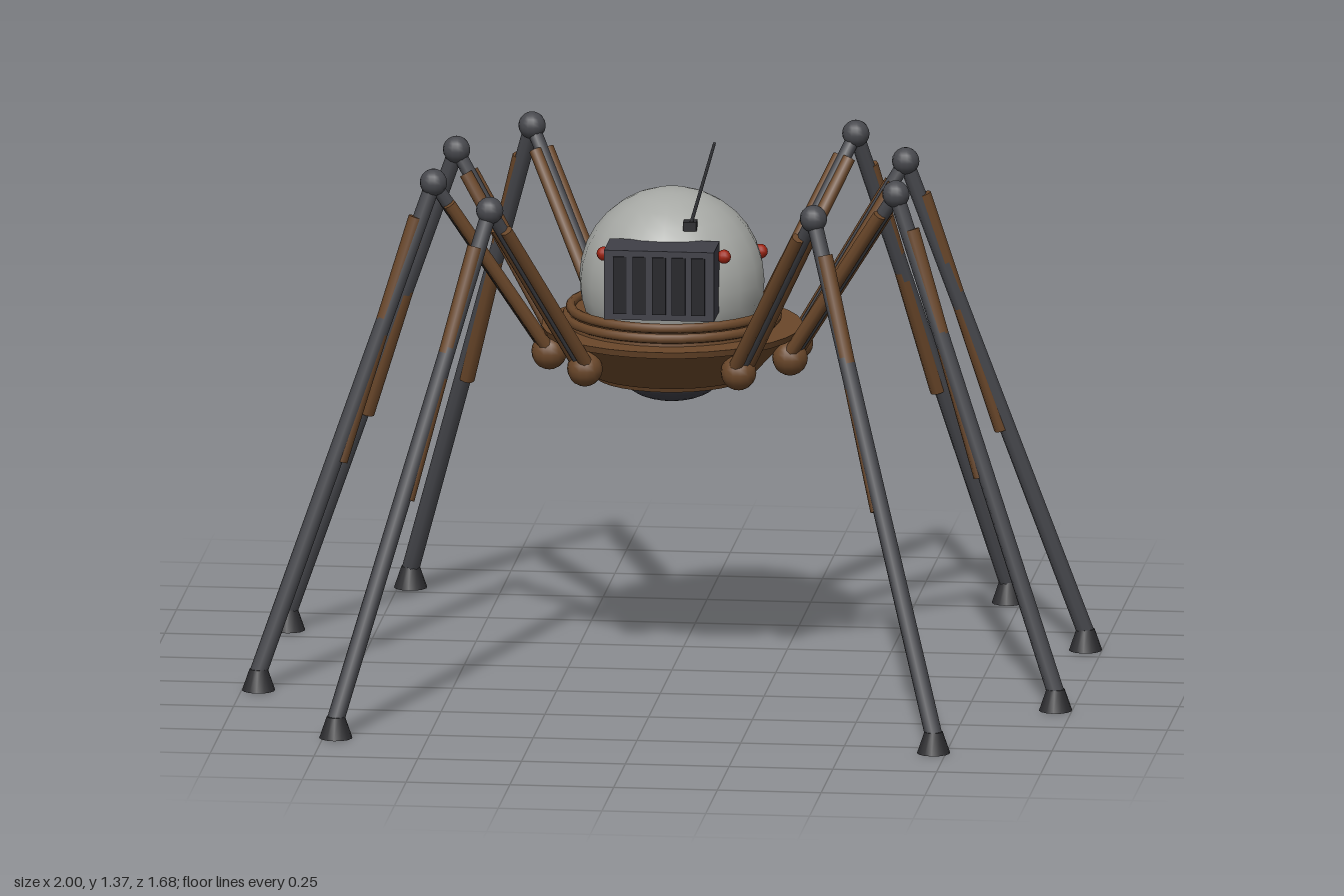
import * as THREE from 'three';

const mat = (name, color, extra = {}) => {
  const m = new THREE.MeshStandardMaterial({ color, ...extra });
  m.name = name;
  return m;
};
const V = (x, y, z) => new THREE.Vector3(x, y, z);

export function createModel() {
  const bronze = mat('bronze', 0x6a472a);
  const steel = mat('dark steel', 0x47484d);
  const rubber = mat('black rubber', 0x2c2c2f);
  const shell = mat('pale shell', 0xa6a8a4);
  const red = mat('red lamp', 0x9e2413);
  const casing = mat('casing grey', 0x3f3f47);
  const slot = mat('vent black', 0x222226);

  const model = new THREE.Group();
  model.name = 'walker';

  const add = (parent, name, geo, material, x = 0, y = 0, z = 0) => {
    const m = new THREE.Mesh(geo, material);
    m.name = name;
    m.position.set(x, y, z);
    parent.add(m);
    return m;
  };
  // Round bar between two points
  const bar = (parent, name, a, b, r0, r1, material, sides = 8) => {
    const d = b.clone().sub(a);
    const m = add(parent, name, new THREE.CylinderGeometry(r1, r0, d.length(), sides), material);
    m.position.copy(a).addScaledVector(d, 0.5);
    m.quaternion.setFromUnitVectors(V(0, 1, 0), d.normalize());
    return m;
  };

  // Body: stepped conical hull with a flat rim and collar rings
  const body = new THREE.Group();
  body.name = 'body';
  model.add(body);
  const ringPart = (name, top, bottom, y0, y1) =>
    add(body, name, new THREE.CylinderGeometry(top, bottom, y1 - y0, 32), bronze, 0, (y0 + y1) / 2, 0);
  ringPart('basePlate', 0.19, 0.185, 0.725, 0.737);
  ringPart('hull', 0.295, 0.2, 0.737, 0.84);
  ringPart('rim', 0.313, 0.308, 0.836, 0.852);
  ringPart('collar', 0.245, 0.25, 0.852, 0.89);
  for (const [y, r] of [[0.872, 0.252], [0.895, 0.243]]) {
    const t = add(body, 'collarRing', new THREE.TorusGeometry(r, 0.012, 8, 32), bronze, 0, y, 0);
    t.rotation.x = Math.PI / 2;
  }
  add(body, 'dome', new THREE.SphereGeometry(0.223, 20, 10, 0, Math.PI * 2, 0, Math.PI * 0.62), shell, 0, 0.962, 0);
  const belly = add(body, 'bellySensor',
    new THREE.SphereGeometry(0.12, 20, 8, 0, Math.PI * 2, Math.PI / 2, Math.PI / 2), casing, 0, 0.727, 0);
  belly.scale.y = 0.5;

  // Ventilated box on the front of the dome
  const vent = new THREE.Group();
  vent.name = 'ventBox';
  model.add(vent);
  add(vent, 'casing', new THREE.BoxGeometry(0.265, 0.17, 0.125), casing, 0, 1.008, 0.217);
  for (let i = 0; i < 5; i++)
    add(vent, 'ventSlot', new THREE.BoxGeometry(0.033, 0.14, 0.006), slot, -0.094 + i * 0.047, 1.008, 0.28);

  // Antenna
  add(model, 'antennaBase', new THREE.BoxGeometry(0.032, 0.022, 0.032), rubber, 0.06, 1.127, 0.142);
  bar(model, 'antenna', V(0.06, 1.125, 0.142), V(0.135, 1.365, 0.288), 0.005, 0.004, steel, 6);

  // Lamps around the dome
  const lamps = [[0.145, 1.06, 0.175, 0.017], [0.2, 1.008, -0.115, 0.018],
    [0.115, 0.955, -0.192, 0.015], [0.058, 0.955, -0.215, 0.015]];
  for (const [x, y, z, r] of lamps)
    for (const s of [-1, 1]) add(model, 'lamp', new THREE.SphereGeometry(r, 10, 8), red, s * x, y, z);

  // Legs: [hip x, z], [knee x, z], [foot x, z]
  const legs = [
    [[0.185, 0.22], [0.39, 0.437], [0.72, 0.8]],
    [[0.29, 0.05], [0.557, 0.156], [0.96, 0.32]],
    [[0.285, -0.11], [0.541, -0.196], [0.96, -0.322]],
    [[0.18, -0.27], [0.39, -0.471], [0.72, -0.802]],
  ];
  for (const s of [-1, 1]) {
    for (const [h, k, f] of legs) {
      const leg = new THREE.Group();
      leg.name = s > 0 ? 'leftLeg' : 'rightLeg';
      model.add(leg);
      const hip = V(s * h[0], 0.787, h[1]);
      const knee = V(s * k[0], 1.22, k[1]);
      const ankle = V(s * f[0], 0.045, f[1]);
      const out = V(ankle.x - knee.x, 0, ankle.z - knee.z).normalize();
      const side = V(-out.z, 0, out.x);

      // Upper leg: steel core between two bronze rails
      add(leg, 'hipBall', new THREE.SphereGeometry(0.043, 14, 10), bronze, hip.x, hip.y, hip.z);
      bar(leg, 'upperCore', hip, knee, 0.017, 0.017, steel);
      for (const e of [-1, 1]) {
        const o = side.clone().multiplyScalar(e * 0.018);
        bar(leg, 'upperRail', hip.clone().add(o), hip.clone().lerp(knee, 0.88).add(o), 0.017, 0.016, bronze);
      }
      add(leg, 'kneeBall', new THREE.SphereGeometry(0.033, 14, 10), steel, knee.x, knee.y, knee.z);

      // Lower leg with a bronze strut crossing to its inner side
      bar(leg, 'shank', ankle, knee, 0.021, 0.019, steel);
      bar(leg, 'strut', knee.clone().lerp(ankle, 0.57).addScaledVector(out, -0.015),
        knee.clone().lerp(ankle, 0.07).addScaledVector(out, 0.012), 0.019, 0.019, bronze);
      add(leg, 'foot', new THREE.CylinderGeometry(0.022, 0.04, 0.052, 14), rubber, ankle.x, 0.026, ankle.z);
    }
  }
  return model;
}
